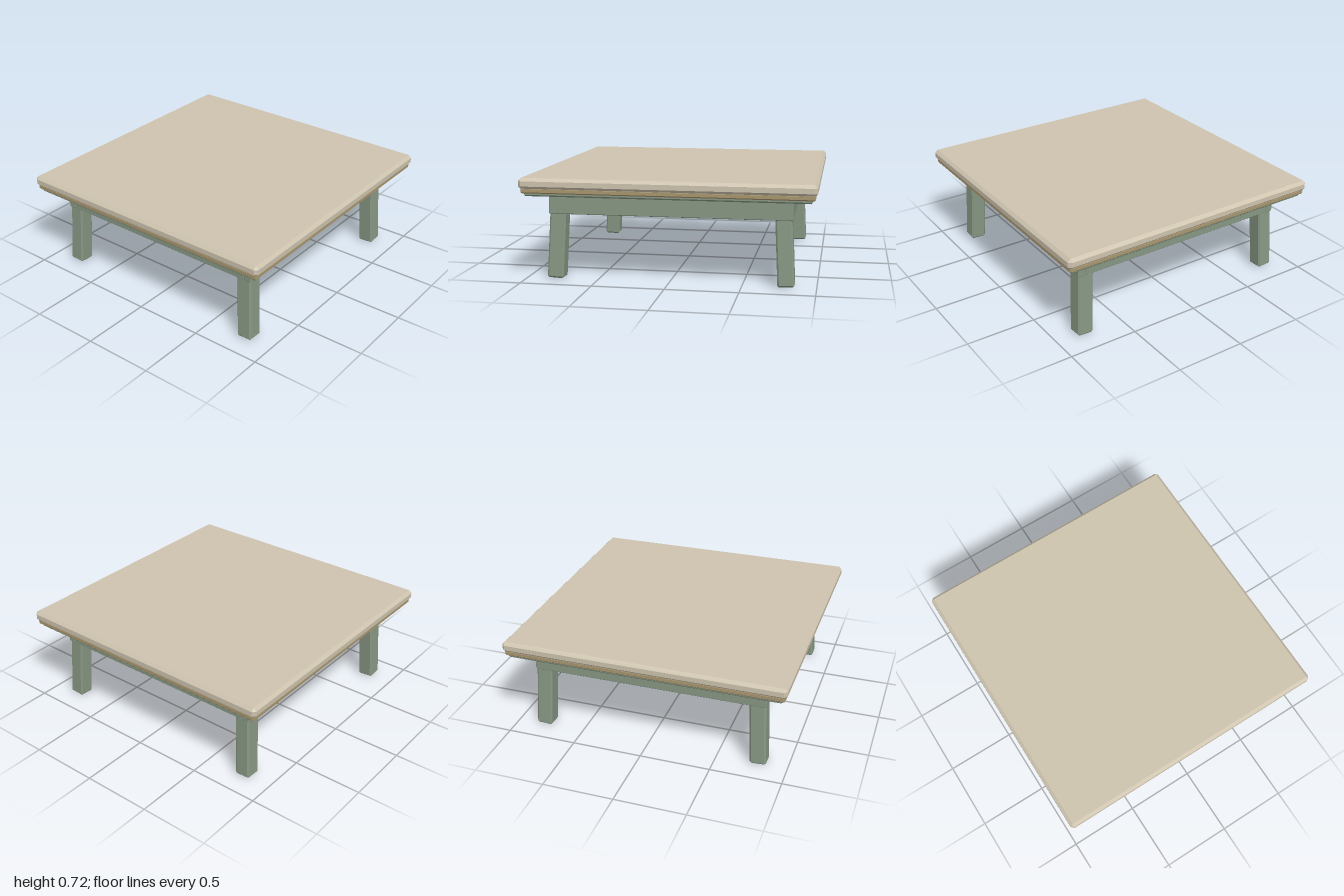
import * as THREE from 'three';
import { ConvexGeometry } from 'three/addons/geometries/ConvexGeometry.js';

// Box with flat chamfers on all edges
function chamferBox(w, h, d, c) {
  const pts = [];
  for (const x of [-1, 1]) for (const y of [-1, 1]) for (const z of [-1, 1]) {
    const X = w / 2, Y = h / 2, Z = d / 2;
    pts.push(new THREE.Vector3(x * X, y * (Y - c), z * (Z - c)));
    pts.push(new THREE.Vector3(x * (X - c), y * Y, z * (Z - c)));
    pts.push(new THREE.Vector3(x * (X - c), y * (Y - c), z * Z));
  }
  return new ConvexGeometry(pts);
}

export function createModel() {
  const group = new THREE.Group();
  const material = (name, color) => {
    const m = new THREE.MeshStandardMaterial({ color });
    m.name = name;
    return m;
  };
  const tan = material('pale wood', 0xcdc3ae);
  const brown = material('brown trim', 0xa8966f);
  const green = material('sage paint', 0x879783);

  const add = (name, geometry, mat, x, y, z) => {
    const mesh = new THREE.Mesh(geometry, mat);
    mesh.name = name;
    mesh.position.set(x, y, z);
    group.add(mesh);
    return mesh;
  };
  // Square layer between two heights
  const layer = (name, half, y0, y1, c, mat) =>
    add(name, chamferBox(half * 2, y1 - y0, half * 2, c), mat, 0, (y0 + y1) / 2, 0);

  // Stepped top
  layer('tableTop', 1, 0.645, 0.722, 0.021, tan);
  layer('topTrim', 0.985, 0.617, 0.655, 0.008, brown);
  layer('underTop', 0.967, 0.595, 0.628, 0.01, green);

  // Apron rails: front and back run full width, sides fit between
  for (const s of [-1, 1]) {
    add(s > 0 ? 'frontRail' : 'backRail', chamferBox(1.672, 0.145, 0.056, 0.005), green, 0, 0.5285, s * 0.808);
    add(s > 0 ? 'leftRail' : 'rightRail', chamferBox(0.056, 0.145, 1.556, 0.005), green, s * 0.806, 0.5285, 0);
  }

  // Splayed legs
  const legGeometry = chamferBox(0.114, 0.6, 0.114, 0.012);
  const tilt = 0.05;
  for (const sx of [-1, 1]) for (const sz of [-1, 1]) {
    const leg = add((sz > 0 ? 'front' : 'back') + (sx > 0 ? 'Left' : 'Right') + 'Leg',
      legGeometry, green, sx * 0.782, 0.304, sz * 0.782);
    leg.rotation.set(-sz * tilt, 0, sx * tilt);
  }

  // Rest the lowest foot corner on the ground
  const box = new THREE.Box3().setFromObject(group, true);
  for (const part of group.children) part.position.y -= box.min.y;
  return group;
}
